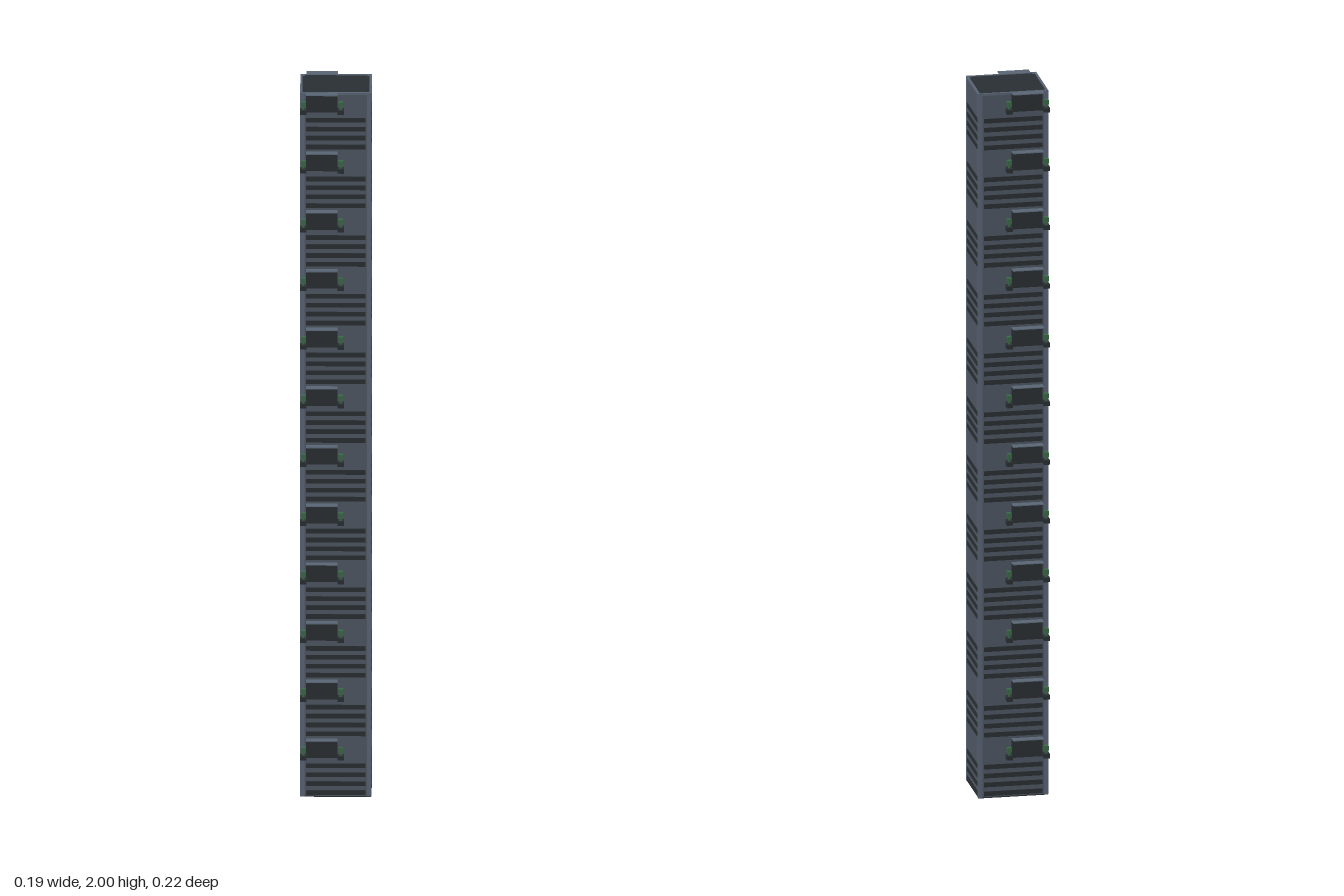
import * as THREE from 'three';

export function createModel() {
  const model = new THREE.Group();
  model.name = 'tower';

  const mat = (color) => new THREE.MeshStandardMaterial({ color });
  const slate = mat(0x4f5865);
  const frame = mat(0x5a6676);
  const dark = mat(0x2a2f33);
  const green = mat(0x3a6a45);

  // Box given by its size and centre
  function box(parent, name, material, w, h, d, x, y, z) {
    const mesh = new THREE.Mesh(new THREE.BoxGeometry(w, h, d), material);
    mesh.name = name;
    mesh.position.set(x, y, z);
    parent.add(mesh);
    return mesh;
  }

  const HX = 0.097, HZ = 0.086, FLOORS = 12, STEP = 2 / FLOORS;

  // Main shaft, corner posts, roof and underside
  box(model, 'shaft', slate, 2 * HX - 0.003, 1.994, 2 * HZ - 0.003, 0, 1, 0);
  for (const sx of [-1, 1]) for (const sz of [-1, 1])
    box(model, 'cornerPost', frame, 0.012, 1.997, 0.012, sx * (HX - 0.006), 1, sz * (HZ - 0.006));
  for (const s of [-1, 1]) {
    box(model, 'roofRim', frame, 2 * HX, 0.006, 0.006, 0, 1.997, s * (HZ - 0.003));
    box(model, 'roofRim', frame, 0.006, 0.006, 2 * HZ, s * (HX - 0.003), 1.997, 0);
  }
  box(model, 'roofPanel', dark, 2 * HX - 0.012, 0.004, 2 * HZ - 0.012, 0, 1.996, 0);
  box(model, 'basePanel', dark, 2 * HX - 0.004, 0.006, 2 * HZ - 0.004, 0, 0.003, 0);

  // One balcony, built facing +z or -z
  function balcony(s) {
    const g = new THREE.Group();
    g.name = 'balcony';
    const z = s * 0.0985;
    box(g, 'window', dark, 0.086, 0.054, 0.003, -0.038, 0.138, s * (HZ + 0.0005));
    box(g, 'canopy', frame, 0.086, 0.002, 0.025, -0.038, 0.1655, z);
    for (const x of [-0.0885, 0.0135]) {
      box(g, 'planter', dark, 0.017, 0.012, 0.024, x, 0.117, z);
      box(g, 'stem', green, 0.006, 0.01, 0.008, x, 0.128, z);
      box(g, 'shrub', green, 0.012, 0.013, 0.013, x, 0.138, z);
    }
    return g;
  }

  // Repeated floors: four louvres on each face, a balcony front and back
  for (let i = 0; i < FLOORS; i++) {
    const floor = new THREE.Group();
    floor.name = 'floor';
    floor.position.y = i * STEP;
    for (let k = 0; k < 4; k++) {
      const y = 0.0125 + k * 0.0253;
      for (const s of [-1, 1]) {
        box(floor, 'louvre', dark, 0.162, 0.013, 0.003, 0, y, s * (HZ - 0.0015));
        box(floor, 'sideLouvre', dark, 0.003, 0.013, 0.142, s * (HX - 0.0015), y, 0);
      }
    }
    floor.add(balcony(1), balcony(-1));
    model.add(floor);
  }
  return model;
}
